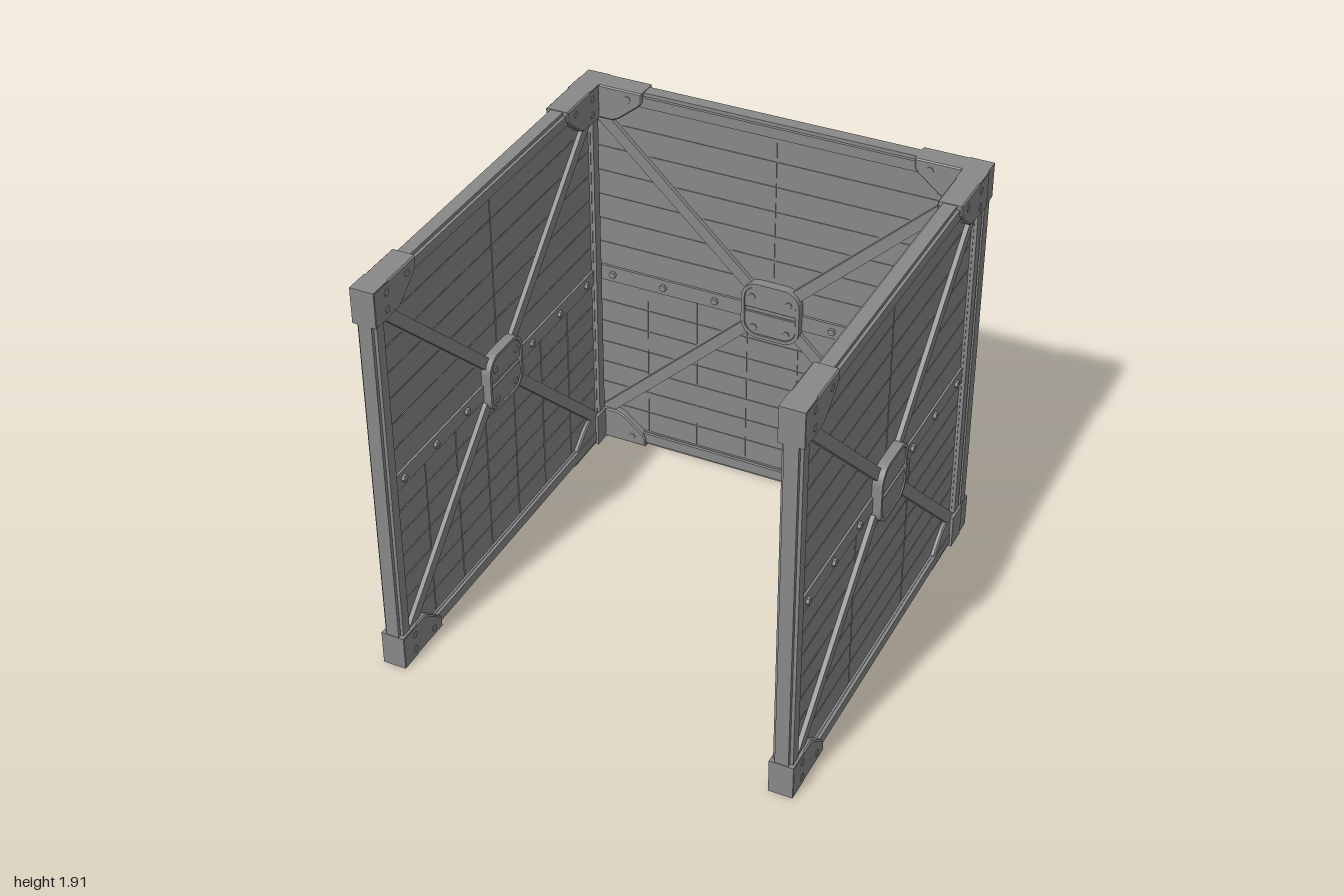
import * as THREE from 'three';

const material = new THREE.MeshStandardMaterial({ color: 0x888888, flatShading: true });
const HALF = 0.955; // half the side of a square wall panel

function add(group, name, geometry, x = 0, y = 0, z = 0) {
  const mesh = new THREE.Mesh(geometry, material);
  mesh.name = name;
  mesh.position.set(x, y, z);
  group.add(mesh);
  return mesh;
}

const box = (w, h, d) => new THREE.BoxGeometry(w, h, d);

// Bevelled plate centred on z = 0, keeping the outline's size
function plate(shape, depth, bevel) {
  const g = new THREE.ExtrudeGeometry(shape, {
    depth: depth - 2 * bevel, bevelEnabled: bevel > 0, bevelSize: bevel,
    bevelThickness: bevel, bevelOffset: -bevel, bevelSegments: 1, curveSegments: 5,
  });
  return g.translate(0, 0, -depth / 2 + bevel);
}

const polygon = (points) => new THREE.Shape(points.map(([x, y]) => new THREE.Vector2(x, y)));

function roundedRect(w, h, r) {
  const s = new THREE.Shape();
  const x = w / 2, y = h / 2;
  s.absarc(x - r, y - r, r, 0, Math.PI / 2);
  s.absarc(-x + r, y - r, r, Math.PI / 2, Math.PI);
  s.absarc(-x + r, -y + r, r, Math.PI, Math.PI * 1.5);
  s.absarc(x - r, -y + r, r, Math.PI * 1.5, Math.PI * 2);
  return s;
}

// Half of the hub cover: flat at the bottom, rounded at the top
function hubCover(w, h, r) {
  const s = new THREE.Shape();
  s.moveTo(-w / 2, 0);
  s.lineTo(w / 2, 0);
  s.absarc(w / 2 - r, h - r, r, 0, Math.PI / 2);
  s.absarc(-w / 2 + r, h - r, r, Math.PI / 2, Math.PI);
  return s;
}

const boltGeometry = new THREE.CylinderGeometry(0.017, 0.02, 0.02, 6).rotateX(Math.PI / 2).rotateZ(Math.PI / 6);

function bolt(group, x, y, z, side) {
  const b = add(group, 'hexBolt', boltGeometry, x, y, z);
  if (side < 0) b.rotation.y = Math.PI;
}

// Rows of boards on one face, with shallow grooves between them
function boards(group, side, yMin, yMax, rows, columns) {
  const gap = 0.006, width = 1.77, w = width / columns, h = (yMax - yMin) / rows;
  const g = box(w - gap, h - gap, 0.008);
  for (let r = 0; r < rows; r++)
    for (let c = 0; c < columns; c++)
      add(group, 'board', g, -width / 2 + w * (c + 0.5), yMin + h * (r + 0.5), side * 0.016);
}

// One square wall panel centred on the origin; +z is its inner face.
// turn is 0 for the back wall and +1 or -1 for the left or right wall.
function wallPanel(name, turn) {
  const panel = new THREE.Group();
  panel.name = name;

  // Boarding
  add(panel, 'backingSheet', box(1.8, 1.8, 0.032));
  boards(panel, 1, -0.885, -0.075, 7, 7);
  boards(panel, 1, 0.005, 0.885, 7, 2);
  boards(panel, -1, -0.885, -0.075, 7, 3);
  boards(panel, -1, 0.005, 0.885, 7, 2);

  // Stepped frame rails on all four sides
  for (let i = 0; i < 4; i++) {
    const rail = new THREE.Group();
    rail.name = ['topRail', 'leftPost', 'bottomRail', 'rightPost'][i];
    rail.rotation.z = (i * Math.PI) / 2;
    add(rail, 'railCore', box(1.9, 0.07, 0.06), 0, 0.917, 0);
    add(rail, 'railFlange', box(1.87, 0.05, 0.088), 0, 0.91, 0);
    panel.add(rail);
  }

  // Middle strap and its bolts
  add(panel, 'middleStrap', box(1.78, 0.078, 0.056), 0, -0.035, 0);
  for (const side of [-1, 1])
    for (const x of [0.29, 0.55, 0.81])
      for (const s of [-1, 1]) bolt(panel, s * x, -0.035, side * 0.031, side);

  // Diagonal braces with a raised rib
  const a = new THREE.Vector2(0.09, 0.08), b = new THREE.Vector2(0.86, 0.81);
  const mid = a.clone().add(b).multiplyScalar(0.5);
  const length = a.distanceTo(b), angle = Math.atan2(b.y - a.y, b.x - a.x);
  const profile = polygon([
    [-0.04, -0.027], [-0.02, -0.027], [-0.016, -0.045], [0.016, -0.045], [0.02, -0.027], [0.04, -0.027],
    [0.04, 0.027], [0.02, 0.027], [0.016, 0.045], [-0.016, 0.045], [-0.02, 0.027], [-0.04, 0.027],
  ]);
  const braceGeometry = plate(profile, length, 0).rotateY(Math.PI / 2);
  for (const sx of [-1, 1])
    for (const sy of [-1, 1]) {
      const brace = add(panel, 'diagonalBrace', braceGeometry, sx * mid.x, sy * mid.y, 0);
      brace.rotation.z = sx * sy * angle;
    }

  // Corner gussets; the lower rear ones of the side walls sit slightly off centre
  const outline = [[0, 0], [0.315, 0], [0.315, 0.045], [0.3, 0.068], [0.2, 0.15], [0.17, 0.163], [0, 0.163]];
  for (const sx of [-1, 1])
    for (const sy of [-1, 1]) {
      const shift = sx === -turn && sy < 0 ? turn * 0.015 : 0;
      const points = outline.map(([u, v]) => [sx * (HALF - u), sy * (HALF - v)]);
      add(panel, 'cornerGusset', plate(polygon(points), 0.11, 0.006), 0, 0, shift);
      add(panel, 'cornerBlock', box(0.11, 0.163, 0.108), sx * (HALF - 0.055), sy * (HALF - 0.0815), 0);
      for (const side of [-1, 1])
        for (const [u, v] of [[0.09, 0.042], [0.245, 0.042], [0.09, 0.122]])
          bolt(panel, sx * (HALF - u), sy * (HALF - v), side * 0.048 + shift, side);
    }

  // Central hub: body, raised rim, split covers and inner bolts
  add(panel, 'hubBody', plate(roundedRect(0.27, 0.27, 0.075), 0.1, 0), 0, -0.005, 0);
  const rim = roundedRect(0.285, 0.285, 0.08);
  rim.holes.push(roundedRect(0.253, 0.253, 0.065));
  add(panel, 'hubRim', plate(rim, 0.13, 0), 0, -0.005, 0);
  const cover = plate(hubCover(0.252, 0.115, 0.065), 0.12, 0.002);
  add(panel, 'upperHubCover', cover, 0, 0.006, 0);
  add(panel, 'lowerHubCover', cover, 0, -0.016, 0).rotation.z = Math.PI;
  for (const s of [-1, 1]) {
    bolt(panel, s * 0.09, 0.065, 0.055, 1);
    bolt(panel, s * 0.08, -0.095, 0.055, 1);
  }
  return panel;
}

export function createModel() {
  const model = new THREE.Group();
  model.name = 'threeSidedEnclosure';

  const back = wallPanel('backWall', 0);
  back.position.set(0, HALF, -0.935);
  model.add(back);

  // Side walls turn their inner faces towards each other
  for (const side of [-1, 1]) {
    const wall = wallPanel(side > 0 ? 'leftWall' : 'rightWall', side);
    wall.position.set(side * 0.905, HALF, 0.045);
    wall.rotation.y = (-side * Math.PI) / 2;
    model.add(wall);
  }
  return model;
}
